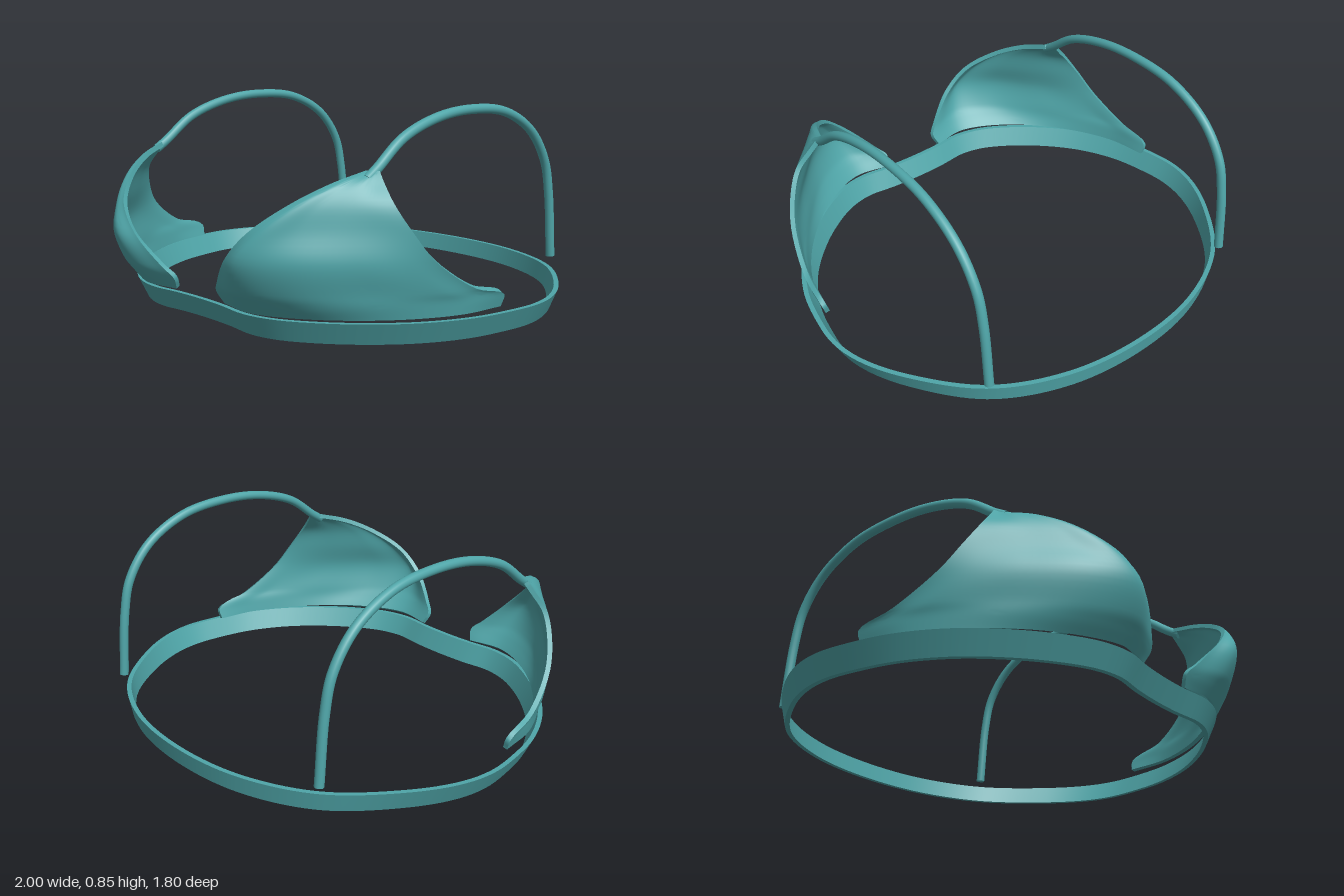
import * as THREE from 'three';
import { toCreasedNormals, mergeGeometries } from 'three/addons/utils/BufferGeometryUtils.js';

const V = (x, y, z) => new THREE.Vector3(x, y, z);
const spline = (pts, closed = false) => new THREE.CatmullRomCurve3(pts, closed, 'centripetal');

// Skins a grid of points; faces look along (row direction) x (column direction).
function skin(rows) {
  const n = rows[0].length, index = [];
  for (let i = 0; i < rows.length - 1; i++) {
    for (let j = 0; j < n - 1; j++) {
      const a = i * n + j, b = a + n;
      index.push(a, b, b + 1, a, b + 1, a + 1);
    }
  }
  const g = new THREE.BufferGeometry().setFromPoints(rows.flat());
  g.setIndex(index);
  return g;
}

function mirrorX(geometry) {
  const g = geometry.clone().scale(-1, 1, 1);
  for (const name of Object.keys(g.attributes)) {
    const { array, itemSize } = g.attributes[name];
    for (let t = 0; t < array.length; t += 3 * itemSize) {
      for (let k = 0; k < itemSize; k++) {
        const p = t + itemSize + k, q = p + itemSize;
        [array[p], array[q]] = [array[q], array[p]];
      }
    }
  }
  return g;
}

// Closed band, leaning inward towards its lower edge
function bandGeometry() {
  const half = [[0.35, -0.855], [0.65, -0.71], [0.87, -0.46], [0.97, -0.27], [1, -0.12],
    [0.985, 0.04], [0.94, 0.22], [0.84, 0.41], [0.7, 0.57], [0.55, 0.69], [0.42, 0.76],
    [0.29, 0.787], [0.14, 0.772]];
  const path = spline([
    V(0, 0, -0.9), ...half.map(([x, z]) => V(-x, 0, z)),
    V(0, 0, 0.767), ...half.slice().reverse().map(([x, z]) => V(x, 0, z)),
  ], true);
  const rows = [], N = 160;
  for (let i = 0; i <= N; i++) {
    const p = path.getPointAt((i % N) / N), t = path.getTangentAt((i % N) / N);
    const out = V(-t.z, 0, t.x).normalize();
    const front = THREE.MathUtils.smoothstep(p.z, -0.9, -0.1);
    const lean = 0.012 + 0.03 * front, low = 0.012 * (1 - front);
    const at = (inset, y) => p.clone().addScaledVector(out, -inset).setY(y);
    rows.push([at(lean, low), at(0, 0.09), at(0.02, 0.09), at(lean + 0.02, low), at(lean, low)]);
  }
  return toCreasedNormals(skin(rows), 0.6);
}

// Cup shell: horizontal sections [height, (x, z) points from centre edge to side edge]
const cupSections = [
  [0.10, [[0.155, 0.765], [0.33, 0.785], [0.55, 0.68], [0.77, 0.47], [0.9, 0.24], [0.935, 0.04]]],
  [0.15, [[0.138, 0.79], [0.33, 0.825], [0.54, 0.73], [0.77, 0.49], [0.905, 0.25], [0.95, 0.04]]],
  [0.20, [[0.18, 0.82], [0.34, 0.86], [0.53, 0.77], [0.75, 0.53], [0.88, 0.34], [0.935, 0.2]]],
  [0.32, [[0.29, 0.865], [0.38, 0.895], [0.54, 0.8], [0.71, 0.61], [0.82, 0.465], [0.885, 0.37]]],
  [0.43, [[0.4, 0.845], [0.46, 0.84], [0.56, 0.745], [0.68, 0.61], [0.77, 0.51], [0.835, 0.44]]],
  [0.53, [[0.505, 0.74], [0.54, 0.735], [0.6, 0.67], [0.67, 0.59], [0.73, 0.525], [0.775, 0.475]]],
  [0.60, [[0.585, 0.61], [0.61, 0.6], [0.64, 0.565], [0.67, 0.53], [0.69, 0.495], [0.715, 0.465]]],
  [0.64, [[0.635, 0.48], [0.645, 0.475], [0.655, 0.47], [0.665, 0.465], [0.675, 0.46], [0.682, 0.455]]],
];

function cupGeometry() {
  const U = 40, W = 35, thickness = 0.02;
  const curves = cupSections.map(([y, pts]) => spline(pts.map(([x, z]) => V(x, y, z))));
  const outer = [];
  for (let i = 0; i <= U; i++) {
    outer.push(spline(curves.map((c) => c.getPoint(i / U))).getPoints(W));
  }
  // Offset along the surface normal for the inside
  const inner = outer.map((col, i) => col.map((p, j) => {
    const du = outer[Math.min(i + 1, U)][j].clone().sub(outer[Math.max(i - 1, 0)][j]);
    const dv = col[Math.min(j + 1, W)].clone().sub(col[Math.max(j - 1, 0)]);
    return p.clone().addScaledVector(du.cross(dv).normalize(), -thickness);
  }));
  const shell = outer.map((col, i) => [...col, ...inner[i].slice().reverse(), col[0]]);
  return toCreasedNormals(mergeGeometries([
    skin(shell),
    skin([inner[0], outer[0]]),
    skin([outer[U], inner[U]]),
  ]), 0.7);
}

// Shoulder strap: round cord with capped ends
function strapGeometry() {
  const r = 0.02, sides = 16;
  const path = spline([[0.61, 0.495], [0.645, 0.44], [0.745, 0.3], [0.81, 0.1], [0.83, -0.12],
    [0.805, -0.35], [0.71, -0.54], [0.57, -0.65], [0.42, -0.69], [0.13, -0.72]]
    .map(([y, z]) => V(0.655, y, z)));
  const cap = (t, sign) => {
    const dir = path.getTangentAt(t).multiplyScalar(sign), p = path.getPointAt(t);
    return new THREE.CircleGeometry(r, sides)
      .applyQuaternion(new THREE.Quaternion().setFromUnitVectors(V(0, 0, 1), dir))
      .translate(p.x, p.y, p.z);
  };
  return mergeGeometries([
    new THREE.TubeGeometry(path, 80, r, sides), cap(0, -1), cap(1, 1),
  ]).toNonIndexed();
}

export function createModel() {
  const group = new THREE.Group();
  group.name = 'bikiniTop';
  const material = new THREE.MeshStandardMaterial({ color: 0x4fa5a8, side: THREE.DoubleSide });
  const add = (name, geometry) => {
    const mesh = new THREE.Mesh(geometry, material);
    mesh.name = name;
    group.add(mesh);
  };

  add('band', bandGeometry());
  const cup = cupGeometry(), strap = strapGeometry();
  add('leftCup', cup);
  add('rightCup', mirrorX(cup));
  add('leftStrap', strap);
  add('rightStrap', mirrorX(strap));
  return group;
}
